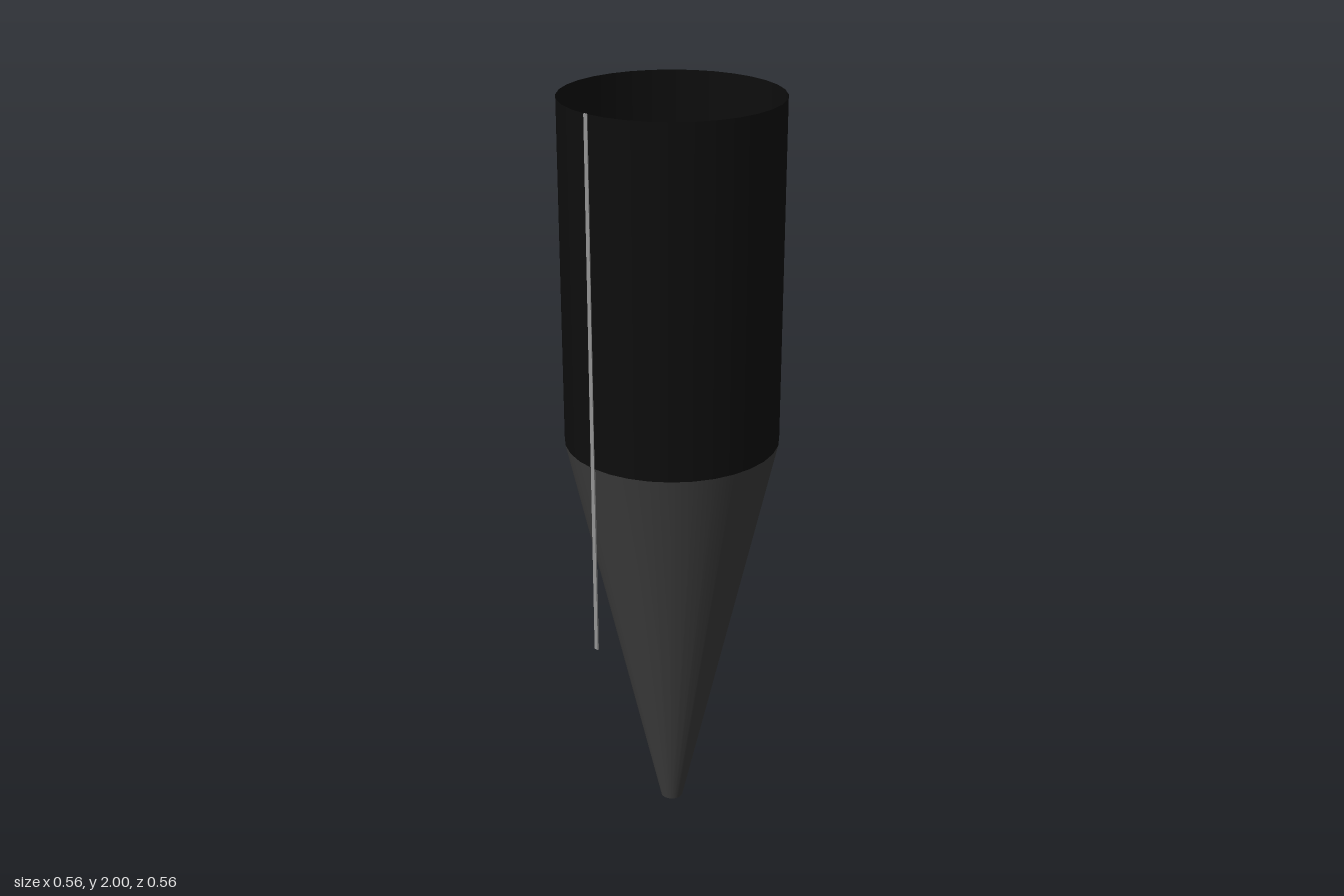
import * as THREE from 'three';

export function createModel() {
  const model = new THREE.Group();
  const material = (name, color, side) => {
    const m = new THREE.MeshStandardMaterial({ color, side });
    m.name = name;
    return m;
  };
  const black = material('black', 0x0d0d0d, THREE.DoubleSide);
  const charcoal = material('charcoal', 0x3e3e3e, THREE.DoubleSide);
  const grey = material('light grey', 0x949494, THREE.FrontSide);

  const R = 0.278, TIP = 0.03, SHOULDER = 1.11, TOP = 2, SIDES = 32;

  const add = (name, geometry, mat) => {
    const mesh = new THREE.Mesh(geometry, mat);
    mesh.name = name;
    model.add(mesh);
    return mesh;
  };

  // open-ended tube and tapering funnel
  const shell = (name, top, bottom, y0, y1, mat) => {
    add(name, new THREE.CylinderGeometry(top, bottom, y1 - y0, SIDES, 1, true), mat)
      .position.y = (y0 + y1) / 2;
  };
  shell('upperTube', R, R, SHOULDER, TOP, black);
  shell('taperedCone', R, TIP, 0, SHOULDER, charcoal);

  // thin strip down the front of the tube, hanging free beside the cone
  add('frontStrip', new THREE.BoxGeometry(0.012, 1.41, 0.004), grey)
    .position.set(0, 1.295, R - 0.0005);

  // seam strips lying on the inner face of the cone
  const coneY = z => (z - TIP) / (R - TIP) * SHOULDER;
  const slope = Math.atan2(R - TIP, SHOULDER);
  const seam = (name, z0, z1, width) => {
    const length = Math.hypot(z1 - z0, coneY(z1) - coneY(z0));
    const strip = add(name, new THREE.BoxGeometry(width, length, 0.002), grey);
    const zMid = (z0 + z1) / 2;
    strip.position.set(0, coneY(zMid), zMid - 0.002);
    strip.rotation.x = slope;
  };
  seam('upperInnerSeam', 0.14, 0.275, 0.012);
  seam('lowerInnerSeam', 0.035, 0.14, 0.008);

  return model;
}
